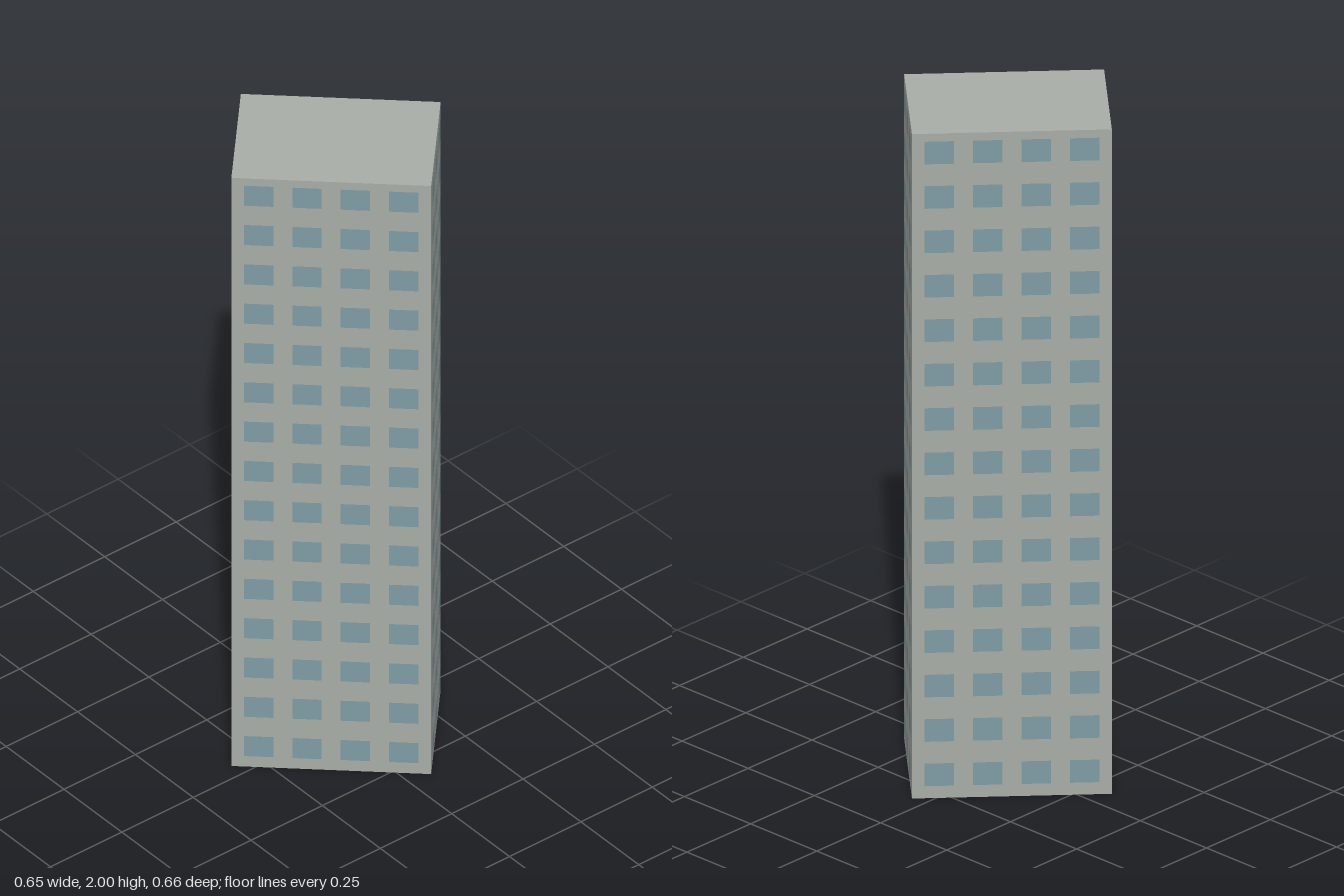
import * as THREE from 'three';

const HEIGHT = 2, LONG = 0.545, SHORT = 0.382;
const ROWS = 15, FLOOR = 0.1337, FIRST_ROW = 0.071;

export function createModel() {
  const concrete = new THREE.MeshStandardMaterial({ color: 0xa8ada7, side: THREE.DoubleSide });
  concrete.name = 'grey concrete';
  const glass = new THREE.MeshStandardMaterial({ color: 0x7f9ba3 });
  glass.name = 'blue-grey glass';

  const tower = new THREE.Group();
  tower.name = 'tower';

  // One wall facing local +z with its grid of windows
  function addFacade(name, width, depth, columns, spacing, turn) {
    const facade = new THREE.Group();
    facade.name = name;
    facade.rotation.y = turn;

    const wall = new THREE.Mesh(new THREE.PlaneGeometry(width, HEIGHT), concrete);
    wall.name = 'wall';
    wall.position.set(0, HEIGHT / 2, depth / 2);
    facade.add(wall);

    const pane = new THREE.PlaneGeometry(0.08, 0.068);
    for (let row = 0; row < ROWS; row++) {
      for (let col = 0; col < columns; col++) {
        const win = new THREE.Mesh(pane, glass);
        win.name = 'window';
        win.position.set((col - (columns - 1) / 2) * spacing, FIRST_ROW + row * FLOOR, depth / 2 + 0.002);
        facade.add(win);
      }
    }
    tower.add(facade);
  }

  // Opposite facades match: wide ones have four columns, narrow ones three
  for (const [side, turn] of [['front', 0], ['back', Math.PI]]) {
    addFacade(side + 'WideFacade', LONG, SHORT, 4, 0.132, turn);
    addFacade(side + 'NarrowFacade', SHORT, LONG, 3, 0.121, turn - Math.PI / 2);
  }

  // Flat roof; the underside stays open
  const roof = new THREE.Mesh(new THREE.PlaneGeometry(LONG, SHORT), concrete);
  roof.name = 'roof';
  roof.rotation.x = -Math.PI / 2;
  roof.position.y = HEIGHT;
  tower.add(roof);

  // The block stands turned on its plot
  tower.rotation.y = THREE.MathUtils.degToRad(47.1);

  const model = new THREE.Group();
  model.name = 'apartmentTower';
  model.add(tower);
  return model;
}
